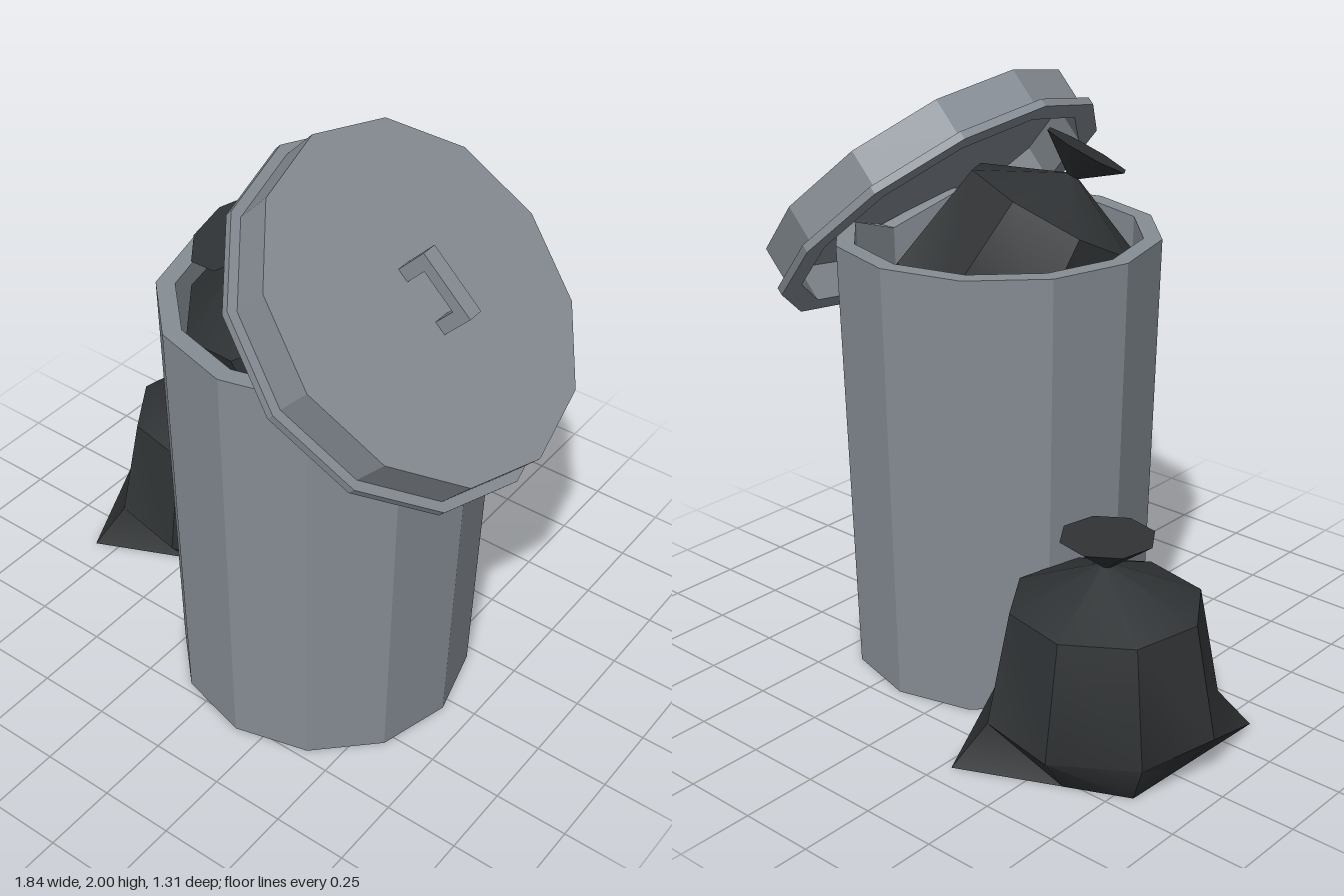
import * as THREE from 'three';
import { toCreasedNormals } from 'three/addons/utils/BufferGeometryUtils.js';

const metal = new THREE.MeshStandardMaterial({ color: 0x868d94, flatShading: true });
const plastic = new THREE.MeshStandardMaterial({ color: 0x303335 });

function mesh(name, geometry, material) {
  const m = new THREE.Mesh(geometry, material);
  m.name = name;
  return m;
}

// Twelve-sided turned part from [radius, height] pairs
function turned(points) {
  return new THREE.LatheGeometry(points.map(([r, y]) => new THREE.Vector2(r, y)), 12);
}

// Tied sack: eight-sided rings from floor to flared top, with two pulled-out floor corners
function sackGeometry(tip) {
  const n = 8;
  const side = tip * 0.3 / ((tip + 0.3) * Math.SQRT1_2);
  const floor = [side, 0.3, side, tip];
  const rings = [[0, 0], [null, 0], [0.375, 0.14], [0.305, 0.51], [0.022, 0.635], [0.15, 0.728], [0, 0.728]];
  const positions = [];
  const index = [];
  for (const [r, y] of rings) {
    for (let j = 0; j < n; j++) {
      const a = -0.19 + (j / n) * Math.PI * 2;
      const radius = r === null ? floor[j % 4] : r;
      positions.push(radius * Math.cos(a), y, radius * Math.sin(a));
    }
  }
  for (let i = 0; i < rings.length - 1; i++) {
    for (let j = 0; j < n; j++) {
      const a = i * n + j;
      const b = i * n + (j + 1) % n;
      const c = b + n;
      const d = a + n;
      if (rings[i + 1][0] !== 0) index.push(a, d, c);
      if (rings[i][0] !== 0) index.push(a, c, b);
    }
  }
  const g = new THREE.BufferGeometry();
  g.setAttribute('position', new THREE.Float32BufferAttribute(positions, 3));
  g.setIndex(index);
  return toCreasedNormals(g, 0.7);
}

export function createModel() {
  const model = new THREE.Group();
  model.name = 'trashCan';

  // Open can with a thick wall; the rim dips where the lid rests on it
  const can = turned([[0, 0], [0.495, 0], [0.53, 1.475], [0.47, 1.475], [0.44, 0.04], [0, 0.04]]);
  const p = can.attributes.position;
  for (let i = 0; i < p.count; i++) {
    if (p.getY(i) > 1.4 && p.getX(i) > 0.465) p.setY(i, 1.39);
  }
  const canMesh = mesh('can', can, metal);
  canMesh.position.set(0.155, 0, 0.04);
  model.add(canMesh);

  // Hollow lid with a flange, tilted off the can
  const lid = new THREE.Group();
  lid.name = 'lid';
  lid.add(mesh('lidShell', turned([
    [0, -0.03], [0.53, -0.03], [0.53, -0.16], [0.603, -0.16],
    [0.603, -0.133], [0.57, -0.133], [0.57, 0], [0, 0],
  ]), metal));

  // U-shaped handle
  const u = new THREE.Shape([
    [-0.115, -0.01], [-0.07, -0.01], [-0.07, 0.08], [0.07, 0.08],
    [0.07, -0.01], [0.115, -0.01], [0.115, 0.12], [-0.115, 0.12],
  ].map(([x, y]) => new THREE.Vector2(x, y)));
  const handle = new THREE.ExtrudeGeometry(u, { depth: 0.055, bevelEnabled: false });
  handle.translate(0, 0, -0.0275);
  lid.add(mesh('lidHandle', handle, metal));
  lid.position.set(0.503, 1.61, 0.04);
  lid.rotation.z = -0.756;
  model.add(lid);

  // Sack standing beside the can
  const groundSack = mesh('groundSack', sackGeometry(0.49), plastic);
  groundSack.position.set(-0.555, 0, -0.265);
  model.add(groundSack);

  // Sack leaning inside the can
  const innerSack = mesh('innerSack', sackGeometry(0.4), plastic);
  innerSack.position.set(0.18, 1.095, -0.035);
  innerSack.quaternion.setFromUnitVectors(
    new THREE.Vector3(0, 1, 0), new THREE.Vector3(-0.3, 0.87, 0.39).normalize());
  model.add(innerSack);

  return model;
}
